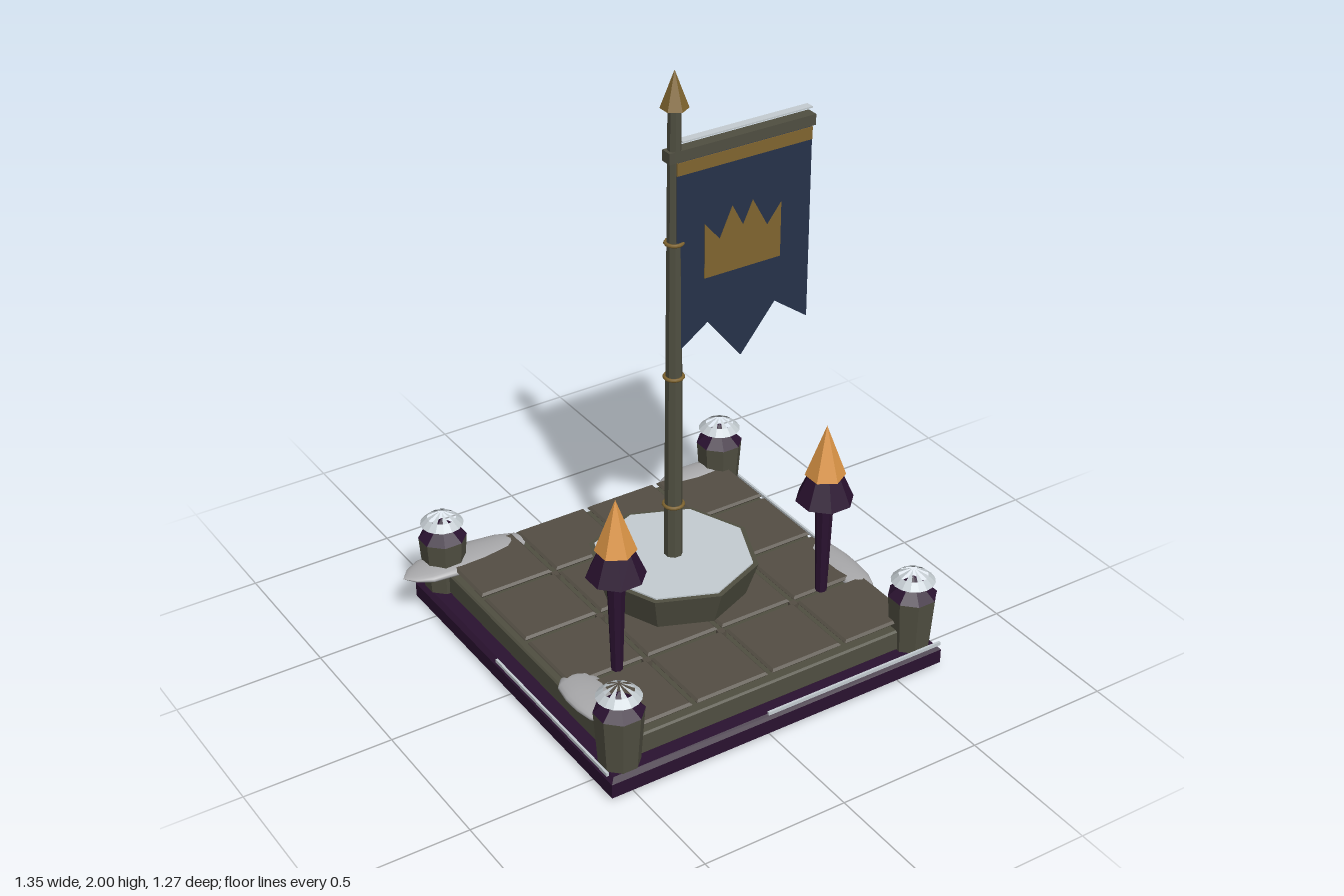
import * as THREE from 'three';

const mat = (name, color, side = THREE.FrontSide) => {
  const m = new THREE.MeshStandardMaterial({ color, side });
  m.name = name;
  return m;
};

export function createModel() {
  const model = new THREE.Group();
  const CX = 0.04; // centre line of the platform and pole
  const purple = mat('dark purple', 0x2a1230);
  const stone = mat('grey stone', 0x504f41);
  const tileStone = mat('brown stone', 0x544e44);
  const snow = mat('snow', 0xc4ccd1, THREE.DoubleSide);
  const drift = mat('drift grey', 0xa8a8aa);
  const bronze = mat('bronze', 0x806530);
  const orange = mat('flame orange', 0xdc9546);
  const navy = mat('navy cloth', 0x26324a);

  const add = (name, geo, material, x = 0, y = 0, z = 0, parent = model) => {
    const mesh = new THREE.Mesh(geo, material);
    mesh.name = name;
    mesh.position.set(x, y, z);
    parent.add(mesh);
    return mesh;
  };
  const flat = (geo) => {
    const g = geo.toNonIndexed();
    g.computeVertexNormals();
    return g;
  };
  // faceted column standing on its own base
  const column = (rTop, rBottom, h, sides, turn = 0) =>
    flat(new THREE.CylinderGeometry(rTop, rBottom, h, sides).translate(0, h / 2, 0).rotateY(turn));
  const shapeOf = (pts) => new THREE.Shape(pts.map(([x, y]) => new THREE.Vector2(x, y)));
  // square slab with chamfered edges, standing on its own base
  const slab = (w, h, b) => {
    const a = w / 2 - b;
    const shape = shapeOf([[-a, -a], [a, -a], [a, a], [-a, a]]);
    return new THREE.ExtrudeGeometry(shape, {
      depth: h - 2 * b, bevelEnabled: true, bevelThickness: b, bevelSize: b, bevelSegments: 1,
    }).translate(0, 0, b).rotateX(-Math.PI / 2);
  };

  // platform
  add('base', slab(1.245, 0.08, 0.015), purple, CX);
  add('platformSlab', slab(1.13, 0.077, 0.006), stone, CX, 0.08);
  const tileGeo = slab(0.264, 0.016, 0.0075);
  for (let i = 0; i < 4; i++) {
    for (let j = 0; j < 4; j++) {
      add('floorTile', tileGeo, tileStone, CX + (i - 1.5) * 0.28, 0.171, (j - 1.5) * 0.28);
    }
  }
  // small supports where tiles meet
  const studGeo = new THREE.BoxGeometry(0.024, 0.02, 0.024);
  for (let i = -1; i <= 1; i++) {
    for (let j = -1; j <= 1; j++) {
      add('tileSupport', studGeo, tileStone, CX + i * 0.28, 0.166, j * 0.28);
    }
  }

  // thin snow strips around the base edge, one per side
  for (let i = 0; i < 4; i++) {
    const side = new THREE.Group();
    side.name = 'edgeStrip';
    side.position.x = CX;
    side.rotation.y = i * Math.PI / 2;
    add('snowStrip', new THREE.BoxGeometry(0.67, 0.012, 0.008), snow, 0.275, 0.1, 0.629, side);
    model.add(side);
  }

  // corner posts with pointed caps and a crown of snow
  const dome = (() => {
    const pos = [];
    const at = (r, y, k) => {
      const a = k * Math.PI / 8;
      return [r * Math.sin(a), y, r * Math.cos(a)];
    };
    for (let k = 0; k < 16; k++) {
      const [a, b] = [at(0.072, 0, k), at(0.072, 0, k + 1)];
      const [c, d] = [at(0.048, 0.022, k), at(0.048, 0.022, k + 1)];
      pos.push(...a, ...b, ...d, ...a, ...d, ...c);
      if (k % 2) pos.push(...c, ...d, ...at(0.006, 0.044, k + 0.5));
    }
    const g = new THREE.BufferGeometry();
    g.setAttribute('position', new THREE.Float32BufferAttribute(pos, 3));
    g.computeVertexNormals();
    return g;
  })();
  for (const sx of [-1, 1]) {
    for (const sz of [-1, 1]) {
      const post = new THREE.Group();
      post.name = 'cornerPost';
      post.position.set(CX + sx * 0.55, 0, sz * 0.55);
      add('postShaft', column(0.08, 0.066, 0.19, 8, Math.PI / 8), stone, 0, 0.08, 0, post);
      add('postCap', column(0, 0.081, 0.07, 8, Math.PI / 8), purple, 0, 0.27, 0, post);
      add('postSnow', dome, snow, 0, 0.323, 0, post);
      model.add(post);
    }
  }

  // octagonal plinth with snowy top
  add('plinth', column(0.28, 0.24, 0.12, 8), stone, CX, 0.19);
  add('plinthSnow', column(0.262, 0.262, 0.005, 8), snow, CX, 0.31);

  // flagpole, rings and finial
  add('pole', column(0.021, 0.031, 1.58, 8, Math.PI / 8), stone, CX, 0.31);
  for (const y of [0.505, 0.975, 1.44]) {
    const r = 0.033 - (y - 0.3) * 0.005;
    add('poleRing', new THREE.TorusGeometry(r, 0.006, 6, 16).rotateX(Math.PI / 2), bronze, CX, y);
  }
  add('finial', column(0, 0.044, 0.12, 6), bronze, CX, 1.88);

  // crossbar with a sliver of snow above it
  add('crossbar', new THREE.BoxGeometry(0.53, 0.036, 0.04), stone, 0.275, 1.728);
  add('crossbarSnow', new THREE.BoxGeometry(0.47, 0.005, 0.028), snow, 0.295, 1.769);

  // banner with swallow-cut hem
  const cloth = (pts, depth) =>
    new THREE.ExtrudeGeometry(shapeOf(pts), { depth, bevelEnabled: false }).translate(0, 0, -depth / 2);
  const bannerZ = 0.017;
  add('banner', cloth([[0.035, 1.71], [0.035, 1.065], [0.15, 1.145], [0.275, 0.99],
    [0.4, 1.145], [0.525, 1.055], [0.525, 1.71]], 0.01), navy, 0, 0, bannerZ);
  add('bannerStripe', cloth([[0.035, 1.668], [0.525, 1.668], [0.525, 1.71], [0.035, 1.71]], 0.015),
    bronze, 0, 0, bannerZ);
  add('bannerCrown', cloth([[0.135, 1.3], [0.415, 1.3], [0.415, 1.485], [0.365, 1.42], [0.31, 1.52],
    [0.275, 1.445], [0.235, 1.52], [0.19, 1.42], [0.135, 1.485]], 0.015), bronze, 0, 0, bannerZ);

  // torches
  for (const sx of [-1, 1]) {
    const torch = new THREE.Group();
    torch.name = 'torch';
    torch.position.set(CX + sx * 0.39, 0, 0.28);
    add('torchShaft', column(0.031, 0.019, 0.36, 8), purple, 0, 0.187, 0, torch);
    add('torchCup', column(0.056, 0.095, 0.09, 8, Math.PI / 8), purple, 0, 0.54, 0, torch);
    add('flame', column(0, 0.066, 0.18, 6), orange, 0, 0.63, 0, torch);
    model.add(torch);
  }

  // tapered snow drifts: centre x, z, half length, half width, along x?
  const driftProfile = [[0, -1], [0.5, -0.86], [0.85, -0.65], [0.98, -0.2], [0.95, 0.2], [0.8, 0.6],
    [0.5, 0.86], [0, 1]].map(([r, t]) => new THREE.Vector2(r, t));
  const driftGeo = new THREE.LatheGeometry(driftProfile, 20);
  const drifts = [
    [-0.44, -0.525, 0.235, 0.077, true],
    [0.5, -0.54, 0.165, 0.058, true],
    [0.577, 0.185, 0.17, 0.055, false],
    [-0.483, 0.345, 0.145, 0.075, false],
  ];
  for (const [x, z, len, wid, alongX] of drifts) {
    const g = driftGeo.clone().scale(0.023, len, wid); // thickness, length, width
    g.rotateZ(Math.PI / 2);
    if (alongX) g.rotateY(Math.PI);
    else g.rotateY(Math.PI / 2);
    add('snowDrift', g, drift, x, 0.172, z);
  }

  return model;
}
